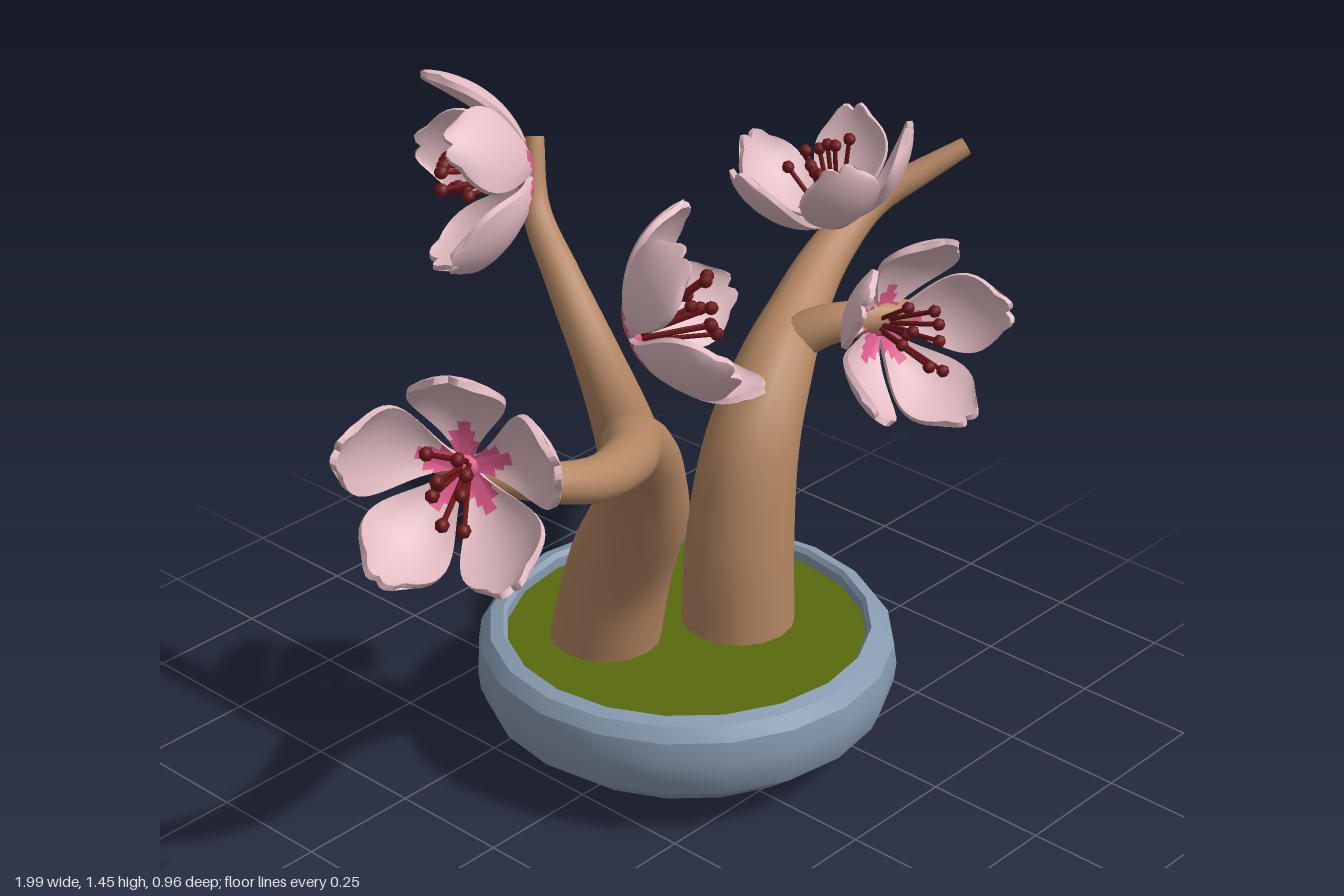
import * as THREE from 'three';
import { toCreasedNormals } from 'three/addons/utils/BufferGeometryUtils.js';

const material = (name, color) => Object.assign(new THREE.MeshStandardMaterial({ color }), { name });
const glaze = material('blue grey glaze', 0x889bb1);
const moss = material('moss green', 0x59690d);
const bark = material('brown bark', 0xb58763);
const blush = material('pale pink petal', 0xe2bcc2);
const deepPink = material('deep pink centre', 0xdf5a8c);
const darkRed = material('dark red stamen', 0x6c1518);

const V = (x, y, z) => new THREE.Vector3(x, y, z);

function mesh(name, geometry, mat) {
  const m = new THREE.Mesh(geometry, mat);
  m.name = name;
  return m;
}

// Tapered limb along a smooth path; each point is [x, y, z, radius]
function limb(name, points) {
  const curve = new THREE.CatmullRomCurve3(points.map((p) => V(p[0], p[1], p[2])));
  const radii = new THREE.CatmullRomCurve3(points.map((p) => V(p[3], 0, 0)));
  const rings = points.length * 5, sides = 16;
  const geo = new THREE.TubeGeometry(curve, rings, 1, sides);
  const pos = geo.attributes.position, v = V(0, 0, 0);
  for (let i = 0; i <= rings; i++) {
    const centre = curve.getPointAt(i / rings);
    const radius = radii.getPoint(curve.getUtoTmapping(i / rings)).x;
    for (let j = 0; j <= sides; j++) {
      const k = i * (sides + 1) + j;
      v.fromBufferAttribute(pos, k).sub(centre).multiplyScalar(radius).add(centre);
      pos.setXYZ(k, v.x, v.y, v.z);
    }
  }
  const group = new THREE.Group();
  group.name = name;
  const cap = mesh('cutEnd', new THREE.CircleGeometry(points.at(-1)[3], sides), bark);
  cap.position.copy(curve.getPointAt(1));
  cap.quaternion.setFromUnitVectors(V(0, 0, 1), curve.getTangentAt(1));
  group.add(mesh('bark', geo, bark), cap);
  return group;
}

// Cupped, round-tipped petal with thickness, growing outward along +z and curling up +y
function petalGeometry() {
  const NT = 14, NU = 8, thick = 0.012;
  const pinkRows = [2, 2, 3, 4, 4, 3, 3, 2];
  const pos = [], pink = [], pale = [];
  for (const layer of [0, 1]) {
    for (let i = 0; i <= NT; i++) {
      for (let j = 0; j <= NU; j++) {
        const t = i / NT, u = (j / NU) * 2 - 1;
        const notch = Math.max(0, 1 - 3 * Math.abs(u));
        const s = t * (1 - t ** 4 * (0.05 * notch + 0.09 * u ** 4));
        const w = 0.012 + 0.072 * Math.sin(Math.PI * 0.87 * t ** 1.3);
        const n = V(0, 0.288 * (1 - s) ** 0.6, -0.306 * s ** 0.7).normalize();
        const lift = 0.022 * u * u * Math.sin(Math.PI * t * 0.8) - layer * thick;
        pos.push(u * w, 0.18 * s ** 1.7 + n.y * lift,
          0.012 + 0.18 * (1 - (1 - s) ** 1.6) + n.z * lift);
      }
    }
  }
  const back = (NT + 1) * (NU + 1);
  const id = (i, j) => i * (NU + 1) + j;
  for (let i = 0; i < NT; i++) {
    for (let j = 0; j < NU; j++) {
      const a = id(i, j), b = id(i + 1, j), c = id(i + 1, j + 1), d = id(i, j + 1);
      (i < pinkRows[j] ? pink : pale).push(a, b, d, b, c, d,
        a + back, d + back, b + back, b + back, d + back, c + back);
    }
  }
  // Rim joining the two layers
  const loop = [];
  for (let i = 0; i < NT; i++) loop.push(id(i, 0));
  for (let j = 0; j < NU; j++) loop.push(id(NT, j));
  for (let i = NT; i > 0; i--) loop.push(id(i, NU));
  for (let j = NU; j > 0; j--) loop.push(id(0, j));
  loop.forEach((p, k) => {
    const q = loop[(k + 1) % loop.length];
    pale.push(p, p + back, q, q, p + back, q + back);
  });
  const geo = new THREE.BufferGeometry();
  geo.setAttribute('position', new THREE.Float32BufferAttribute(pos, 3));
  geo.setIndex([...pink, ...pale]);
  geo.addGroup(0, pink.length, 0);
  geo.addGroup(pink.length, pale.length, 1);
  return toCreasedNormals(geo, 0.8);
}

const UP = V(0, 1, 0);

// Five petals and a tuft of stamens; the first petal leans towards "first"
function blossom(name, petalGeo, base, facing, first) {
  const group = new THREE.Group();
  group.name = name;
  for (let i = 0; i < 5; i++) {
    const petal = mesh('petal', petalGeo, [deepPink, blush]);
    petal.rotation.y = (i * Math.PI * 2) / 5;
    group.add(petal);
  }
  const heart = mesh('flowerHeart', new THREE.SphereGeometry(0.024, 10, 6), deepPink);
  heart.scale.y = 0.6;
  group.add(heart);
  for (let i = 0; i < 9; i++) {
    const a = i * 2.4, spread = 0.025 + 0.015 * (i % 4);
    const tip = V(Math.cos(a) * spread, 0.115 + 0.014 * ((i * 2) % 5), Math.sin(a) * spread);
    const root = V(tip.x * 0.2, 0, tip.z * 0.2);
    const along = tip.clone().sub(root);
    const stalk = mesh('filament', new THREE.CylinderGeometry(0.005, 0.005, along.length(), 6), darkRed);
    stalk.position.copy(root).lerp(tip, 0.5);
    stalk.quaternion.setFromUnitVectors(UP, along.normalize());
    const anther = mesh('anther', new THREE.SphereGeometry(0.0135, 7, 5), darkRed);
    anther.position.copy(tip);
    group.add(stalk, anther);
  }
  const y = V(...facing).normalize();
  const x = y.clone().cross(V(...first)).normalize();
  group.quaternion.setFromRotationMatrix(new THREE.Matrix4().makeBasis(x, y, x.clone().cross(y)));
  group.position.set(...base);
  return group;
}

export function createModel() {
  const model = new THREE.Group();
  model.name = 'floweringBonsai';

  // Shallow pot and moss
  const profile = [[0, 0], [0.12, 0.001], [0.23, 0.01], [0.34, 0.045], [0.408, 0.1], [0.424, 0.14], [0.428, 0.18],
    [0.422, 0.225], [0.402, 0.252], [0.375, 0.26], [0.367, 0.25], [0.367, 0.21]];
  const potGeo = new THREE.LatheGeometry(profile.map((p) => new THREE.Vector2(...p)), 20);
  const pot = mesh('pot', toCreasedNormals(potGeo, 0.45), glaze);
  pot.position.set(0.08, 0, -0.022);
  const soil = mesh('moss', new THREE.CircleGeometry(0.367, 20), moss);
  soil.rotation.x = -Math.PI / 2;
  soil.position.set(0.08, 0.228, -0.022);
  model.add(pot, soil);

  // Trunks and side branches
  model.add(
    limb('rightTrunk', [[-0.04, 0.2, -0.14, 0.113], [-0.045, 0.4, -0.09, 0.107], [-0.075, 0.58, 0, 0.093],
      [-0.15, 0.74, 0.07, 0.077], [-0.26, 0.85, 0.15, 0.06], [-0.38, 0.9, 0.25, 0.05], [-0.52, 0.935, 0.3, 0.042],
      [-0.66, 0.98, 0.27, 0.034], [-0.73, 1.0, 0.16, 0.026], [-0.725, 1.0, 0.02, 0.02]]),
    limb('rightUpperBranch', [[-0.14, 0.71, 0.05, 0.068], [-0.195, 0.85, 0.06, 0.058], [-0.22, 0.98, 0.02, 0.046],
      [-0.21, 1.1, -0.07, 0.036], [-0.17, 1.2, -0.18, 0.027], [-0.13, 1.32, -0.22, 0.018]]),
    limb('leftTrunk', [[0.19, 0.2, 0.02, 0.117], [0.2, 0.42, 0.015, 0.11], [0.25, 0.6, 0, 0.097],
      [0.36, 0.71, -0.04, 0.08], [0.5, 0.77, -0.1, 0.062], [0.65, 0.83, -0.15, 0.049], [0.8, 0.9, -0.16, 0.038],
      [0.9, 0.95, -0.11, 0.028], [0.985, 1.0, -0.055, 0.02]]),
    limb('leftSideBranch', [[0.4, 0.74, -0.06, 0.05], [0.46, 0.785, 0.0, 0.043], [0.53, 0.8, 0.06, 0.036],
      [0.62, 0.785, 0.085, 0.029], [0.7, 0.75, 0.07, 0.024], [0.78, 0.69, 0.07, 0.018], [0.89, 0.65, 0.115, 0.009]]));

  // Blossoms
  const petal = petalGeometry();
  model.add(
    blossom('rightBlossom', petal, [-0.745, 1.02, 0.215], [-0.8, 0.22, 0.55], [0, 1, 0]),
    blossom('topBlossom', petal, [-0.155, 1.26, -0.22], [-0.83, 0, -0.55], [0.55, -0.08, -0.83]),
    blossom('middleBlossom', petal, [-0.16, 1.01, 0.065], [0.6, 0.4, 0.65], [0, -1, 0]),
    blossom('leftFrontBlossom', petal, [0.545, 0.785, 0.085], [-0.2, 0.2, 0.95], [0.3, 1, 0]),
    blossom('leftBackBlossom', petal, [0.71, 0.885, -0.185], [-0.1, 0.97, -0.2], [0, 0, -1]));
  return model;
}
